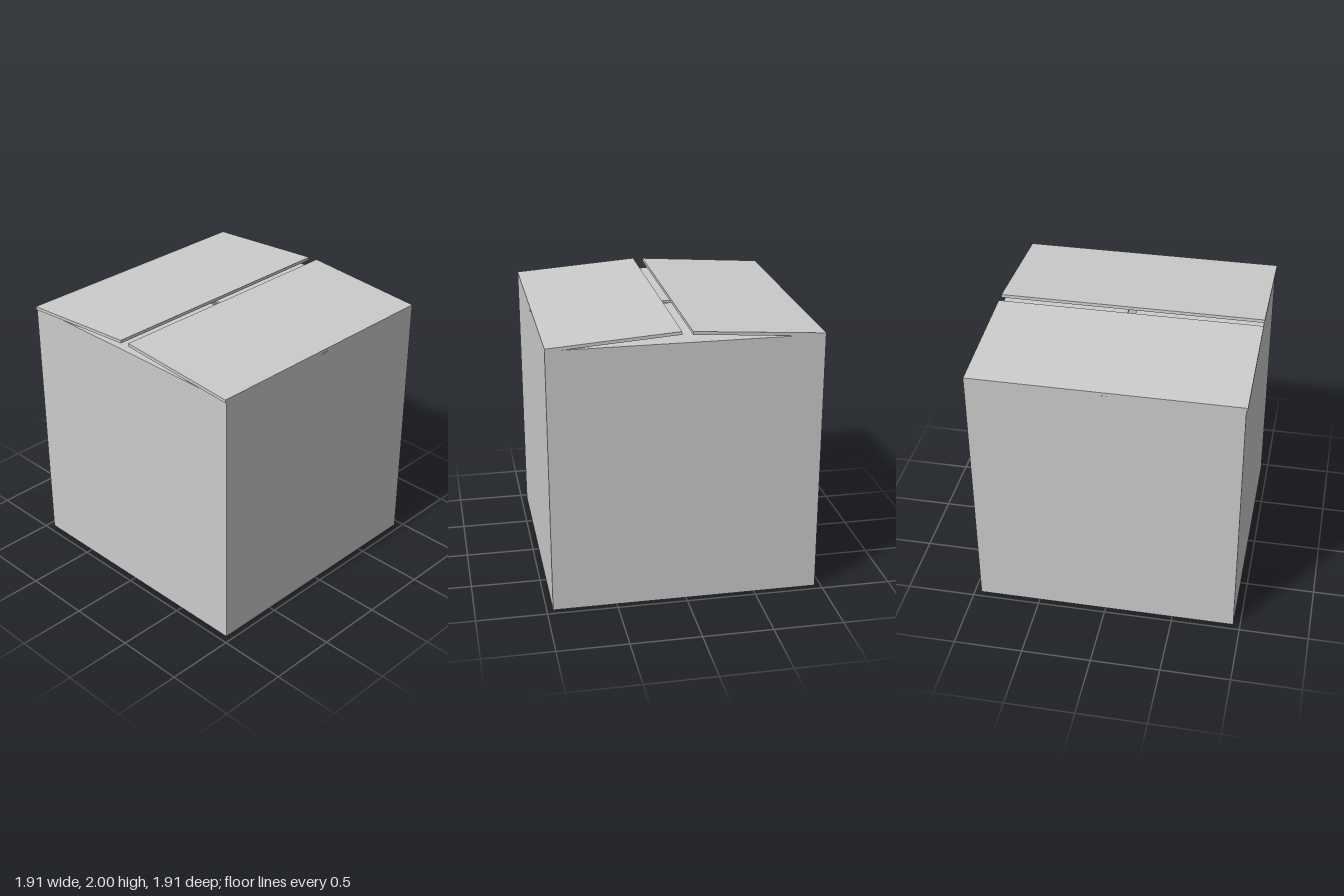
import * as THREE from 'three';

export function createModel() {
  const group = new THREE.Group();
  const mat = new THREE.MeshStandardMaterial({ color: 0xcccccc, flatShading: true });

  const W = 0.95, D = 0.955, H = 1.905, T = 0.02;

  // Box given by its minimum and maximum corners
  function slab(name, [x0, y0, z0], [x1, y1, z1]) {
    const mesh = new THREE.Mesh(new THREE.BoxGeometry(x1 - x0, y1 - y0, z1 - z0), mat);
    mesh.position.set((x0 + x1) / 2, (y0 + y1) / 2, (z0 + z1) / 2);
    mesh.name = name;
    group.add(mesh);
  }

  // Hollow carton: a square tube standing on a floor panel
  const outline = new THREE.Shape([
    new THREE.Vector2(-W, -D), new THREE.Vector2(W, -D),
    new THREE.Vector2(W, D), new THREE.Vector2(-W, D),
  ]);
  outline.holes.push(new THREE.Path([
    new THREE.Vector2(-W + T, -D + T), new THREE.Vector2(-W + T, D - T),
    new THREE.Vector2(W - T, D - T), new THREE.Vector2(W - T, -D + T),
  ]));
  const walls = new THREE.Mesh(
    new THREE.ExtrudeGeometry(outline, { depth: H, bevelEnabled: false }).rotateX(-Math.PI / 2), mat);
  walls.name = 'walls';
  group.add(walls);
  slab('floor', [-W + T, 0, -D + T], [W - T, T, D - T]);

  // Inner side flaps, lying flat with a narrow slot between them
  slab('innerFlapRight', [-W, H, -D], [-0.027, 1.92, D]);
  slab('innerFlapLeft', [0.03, H, -D], [W, 1.92, D]);

  // Outer flaps, slightly raised towards the middle; profile points are (z, y)
  function outerFlap(name, profile) {
    const shape = new THREE.Shape(profile.map(([z, y]) => new THREE.Vector2(-z, y)));
    const geo = new THREE.ExtrudeGeometry(shape, { depth: 1.91, bevelEnabled: false });
    geo.rotateY(Math.PI / 2).translate(-0.96, 0, 0);
    const mesh = new THREE.Mesh(geo, mat);
    mesh.name = name;
    group.add(mesh);
  }
  outerFlap('outerFlapFront', [[0.955, 1.935], [0.04, 2.0], [0.038, 1.977], [0.955, 1.912]]);
  outerFlap('outerFlapBack', [[-0.955, 1.929], [-0.035, 1.995], [-0.035, 1.972], [-0.955, 1.906]]);

  return group;
}
